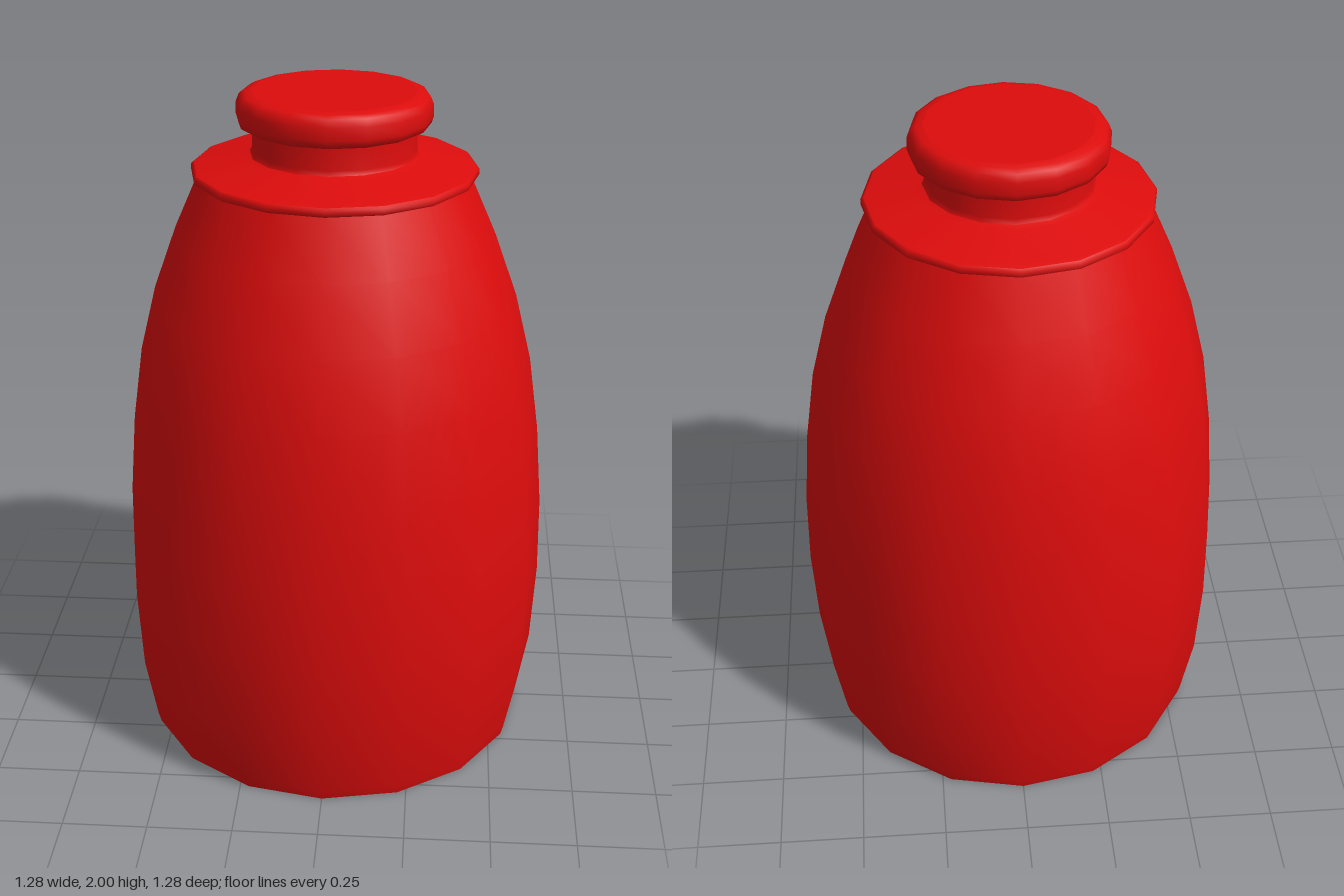
import * as THREE from 'three';

const SIDES = 16;

export function createModel() {
  const group = new THREE.Group();
  const material = new THREE.MeshStandardMaterial({ color: 0xdd0c0c });

  // Turns a profile of [radius, height] pairs, listed from bottom to top
  const turn = (name, profile) => {
    const points = profile.map(([r, y]) => new THREE.Vector2(r, y));
    const mesh = new THREE.Mesh(new THREE.LatheGeometry(points, SIDES), material);
    mesh.name = name;
    group.add(mesh);
  };

  // Flat base
  turn('base', [[0, 0], [0.585, 0]]);

  // Bulging body that narrows towards the shoulder
  turn('body', [
    [0.585, 0], [0.593, 0.03], [0.628, 0.23], [0.641, 0.48], [0.637, 0.72],
    [0.617, 0.97], [0.584, 1.2], [0.534, 1.4], [0.465, 1.59], [0.39, 1.76],
  ]);

  // Thin rim overhanging the body
  turn('rimUnderside', [[0.38, 1.76], [0.405, 1.76]]);
  turn('rimEdge', [[0.405, 1.76], [0.413, 1.765], [0.413, 1.78], [0.405, 1.786]]);

  // Sloping shoulder and neck
  turn('shoulder', [[0.405, 1.786], [0.39, 1.79], [0.26, 1.816], [0.242, 1.822]]);
  turn('neck', [[0.242, 1.822], [0.235, 1.835], [0.235, 1.905]]);

  // Rounded stopper with a flat top
  turn('stopperUnderside', [[0.235, 1.905], [0.262, 1.905]]);
  turn('stopper', [
    [0.262, 1.905], [0.274, 1.912], [0.28, 1.93], [0.279, 1.965],
    [0.27, 1.987], [0.255, 1.996], [0.235, 2],
  ]);
  turn('stopperTop', [[0.235, 2], [0, 2]]);

  return group;
}
